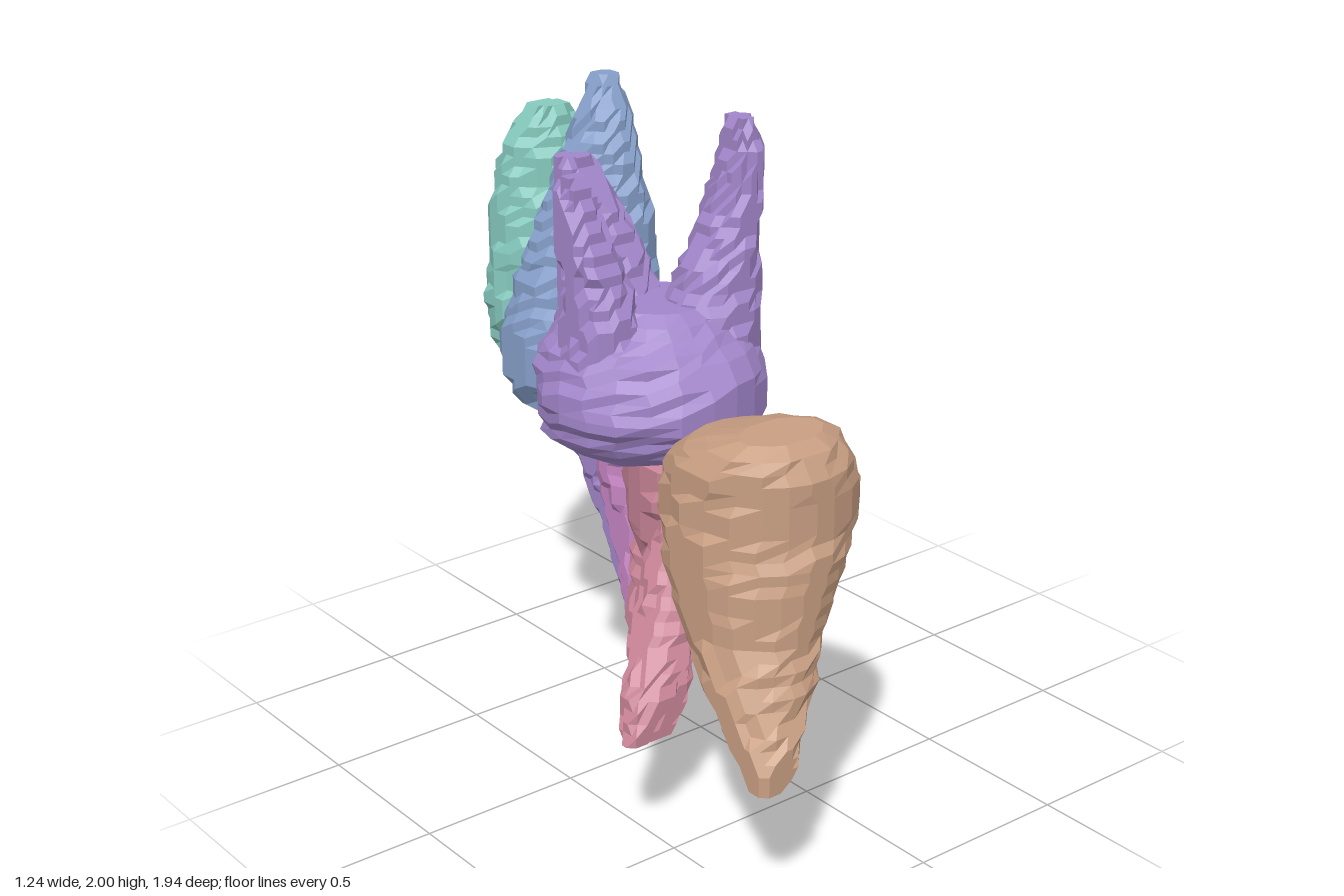
import * as THREE from 'three';

const ROW = 0.03; // height of one layer
const STEP = 0.02; // grid that gives the chunky, stepped surface
const SIDES = 22;
const snap = (v) => Math.round(v / STEP) * STEP;

const paint = (name, color) => {
  const m = new THREE.MeshStandardMaterial({ color });
  m.name = name;
  return m;
};

// Slices run from bottom to top: [y, centreX, centreZ, radiusU, radiusV]; U is turned by deg in the xz plane.
// cut is the distance of an upright plane, facing -V, that slices the back of the part flat.
function loft(slices, deg = 0, cut = Infinity) {
  const a = THREE.MathUtils.degToRad(deg), ca = Math.cos(a), sa = Math.sin(a);
  const y0 = slices[0][0], y1 = slices[slices.length - 1][0];
  const rows = Math.max(2, Math.round((y1 - y0) / ROW));
  const rings = [];
  for (let i = 0; i <= rows; i++) {
    const y = y0 + ((y1 - y0) * i) / rows;
    let s = 0;
    while (s < slices.length - 2 && y > slices[s + 1][0]) s++;
    const p = slices[s], q = slices[s + 1], f = (y - p[0]) / (q[0] - p[0]);
    const [, cx, cz, ru, rv] = p.map((v, k) => v + (q[k] - v) * f);
    const ring = [];
    for (let k = 0; k < SIDES; k++) {
      const t = (k / SIDES) * Math.PI * 2, u = ru * Math.cos(t), v = rv * Math.sin(t);
      const x = cx + u * ca - v * sa, z = cz + u * sa + v * ca;
      const over = Math.max(0, x * sa - z * ca - cut);
      ring.push(over > 0
        ? new THREE.Vector3(x - over * sa, y, z + over * ca)
        : new THREE.Vector3(snap(x), y, snap(z)));
    }
    ring.centre = new THREE.Vector3(cx, y, cz);
    rings.push(ring);
  }

  const pos = [], tri = new THREE.Triangle();
  const add = (p, q, r) => {
    if (tri.set(p, q, r).getArea() > 1e-7) for (const v of [p, q, r]) pos.push(v.x, v.y, v.z);
  };
  for (let k = 0; k < SIDES; k++) {
    const n = (k + 1) % SIDES;
    for (let i = 0; i < rows; i++) {
      const lo = rings[i], hi = rings[i + 1];
      add(lo[k], hi[k], lo[n]);
      add(lo[n], hi[k], hi[n]);
    }
    add(rings[0].centre, rings[0][k], rings[0][n]);
    add(rings[rows].centre, rings[rows][n], rings[rows][k]);
  }
  const g = new THREE.BufferGeometry();
  g.setAttribute('position', new THREE.Float32BufferAttribute(pos, 3));
  g.computeVertexNormals(); // unshared corners keep every facet flat
  return g;
}

export function createModel() {
  const model = new THREE.Group();
  model.name = 'teeth';
  const tan = paint('tan', 0xc89e82), rose = paint('rose', 0xc98598);
  const magenta = paint('magenta', 0xc585c2), purple = paint('purple', 0xa286ca);
  const blue = paint('blue', 0x869fca), teal = paint('teal', 0x86cabe);

  const tooth = (name, material, parts) => {
    const group = new THREE.Group();
    group.name = name;
    for (const [part, slices, deg, cut] of parts) {
      const mesh = new THREE.Mesh(loft(slices, deg, cut), material);
      mesh.name = part;
      group.add(mesh);
    }
    model.add(group);
  };

  // Lower row, from the rear molar to the incisor
  tooth('lowerRearMolar', tan, [['crownAndRoot', [
    [0.39, -0.52, 0.92, 0.04, 0.04], [0.46, -0.49, 0.89, 0.08, 0.08], [0.6, -0.42, 0.77, 0.14, 0.15],
    [0.75, -0.36, 0.67, 0.19, 0.21], [0.9, -0.32, 0.62, 0.23, 0.26], [1.05, -0.27, 0.59, 0.27, 0.28],
    [1.14, -0.27, 0.59, 0.26, 0.27], [1.22, -0.29, 0.62, 0.23, 0.23], [1.27, -0.29, 0.68, 0.18, 0.14],
    [1.29, -0.29, 0.7, 0.13, 0.08]]]]);

  tooth('lowerMolar', rose, [
    ['crown', [[0.6, -0.2, 0.15, 0.1, 0.06], [0.68, -0.15, 0.12, 0.19, 0.13], [0.78, -0.12, 0.1, 0.26, 0.18],
      [0.92, -0.1, 0.1, 0.3, 0.21], [1.01, -0.1, 0.1, 0.29, 0.2], [1.07, -0.1, 0.1, 0.2, 0.12]], 118],
    ['rearRoot', [[0.34, -0.58, 0.43, 0.04, 0.03], [0.45, -0.5, 0.39, 0.08, 0.07], [0.6, -0.37, 0.31, 0.1, 0.09],
      [0.75, -0.26, 0.25, 0.12, 0.11], [0.9, -0.18, 0.22, 0.12, 0.12]]],
    ['frontRoot', [[0.2, -0.36, 0.24, 0.04, 0.03], [0.3, -0.31, 0.2, 0.08, 0.07], [0.42, -0.26, 0.14, 0.11, 0.1],
      [0.6, -0.15, 0.06, 0.13, 0.13], [0.85, -0.05, 0, 0.15, 0.17]]]]);

  tooth('lowerPremolar', magenta, [['crownAndRoot', [
    [0.1, -0.07, -0.05, 0.03, 0.04], [0.2, -0.07, -0.08, 0.06, 0.07], [0.4, -0.04, -0.17, 0.1, 0.1],
    [0.6, 0, -0.27, 0.14, 0.11], [0.8, 0.02, -0.33, 0.18, 0.13], [0.95, 0.03, -0.345, 0.2, 0.14],
    [1.01, 0.03, -0.345, 0.18, 0.12], [1.04, 0.04, -0.35, 0.1, 0.07]], 135]]);

  tooth('lowerCanine', purple, [['crownAndRoot', [
    [0.1, 0.16, -0.42, 0.04, 0.04], [0.2, 0.15, -0.45, 0.07, 0.08], [0.4, 0.17, -0.53, 0.1, 0.11],
    [0.6, 0.18, -0.61, 0.13, 0.13], [0.8, 0.18, -0.67, 0.18, 0.16], [0.95, 0.17, -0.69, 0.21, 0.18],
    [1.01, 0.17, -0.69, 0.19, 0.15], [1.05, 0.18, -0.72, 0.12, 0.07]], 60]]);

  tooth('lowerIncisor', blue, [['crownAndRoot', [
    [0, 0.47, -0.55, 0.03, 0.03], [0.1, 0.47, -0.6, 0.08, 0.07], [0.22, 0.46, -0.65, 0.12, 0.1],
    [0.4, 0.45, -0.74, 0.18, 0.14], [0.55, 0.43, -0.8, 0.21, 0.15], [0.75, 0.4, -0.86, 0.2, 0.13],
    [0.9, 0.37, -0.9, 0.16, 0.09], [1, 0.34, -0.92, 0.1, 0.06], [1.07, 0.32, -0.93, 0.04, 0.03]], 30, 0.96]]);

  // Upper row, from the three-rooted molar to the front
  tooth('upperMolar', purple, [
    ['crown', [[1.02, -0.2, 0.01, 0.25, 0.2], [1.08, -0.22, 0.04, 0.31, 0.26], [1.18, -0.23, 0.06, 0.33, 0.29],
      [1.28, -0.23, 0.05, 0.33, 0.28], [1.36, -0.22, 0.03, 0.29, 0.24], [1.46, -0.21, 0.01, 0.19, 0.15]], 48],
    ['innerRoot', [[1.2, -0.08, 0.12, 0.16, 0.16], [1.4, -0.06, 0.11, 0.15, 0.14], [1.55, -0.02, 0.11, 0.12, 0.11],
      [1.7, 0.02, 0.11, 0.08, 0.09], [1.9, 0.05, 0.12, 0.05, 0.07], [1.97, 0.04, 0.12, 0.03, 0.04]]],
    ['outerRoot', [[1.2, -0.38, 0.05, 0.13, 0.14], [1.4, -0.38, 0.03, 0.11, 0.12], [1.55, -0.39, 0.02, 0.09, 0.09],
      [1.7, -0.42, 0, 0.07, 0.06], [1.85, -0.43, -0.02, 0.03, 0.03]]],
    ['frontRoot', [[1.2, -0.25, -0.08, 0.17, 0.13], [1.4, -0.24, -0.11, 0.16, 0.11], [1.55, -0.25, -0.14, 0.13, 0.08],
      [1.7, -0.27, -0.18, 0.1, 0.06], [1.84, -0.29, -0.22, 0.05, 0.03]], 22]]);

  tooth('upperPremolar', blue, [['crownAndRoot', [
    [1.02, -0.16, -0.37, 0.19, 0.12], [1.1, -0.16, -0.375, 0.23, 0.17], [1.22, -0.15, -0.375, 0.25, 0.18],
    [1.4, -0.14, -0.37, 0.21, 0.14], [1.6, -0.11, -0.36, 0.17, 0.1], [1.8, -0.08, -0.37, 0.11, 0.08],
    [1.92, -0.05, -0.39, 0.07, 0.06], [2, -0.03, -0.41, 0.03, 0.03]], 43]]);

  tooth('upperCanine', teal, [['crownAndRoot', [
    [1.02, 0.03, -0.71, 0.2, 0.15], [1.1, 0.03, -0.71, 0.24, 0.19], [1.22, 0.02, -0.71, 0.25, 0.19],
    [1.4, 0, -0.7, 0.22, 0.16], [1.6, -0.02, -0.71, 0.18, 0.12], [1.75, -0.03, -0.71, 0.13, 0.09],
    [1.85, -0.03, -0.7, 0.06, 0.04]], 22]]);

  return model;
}
